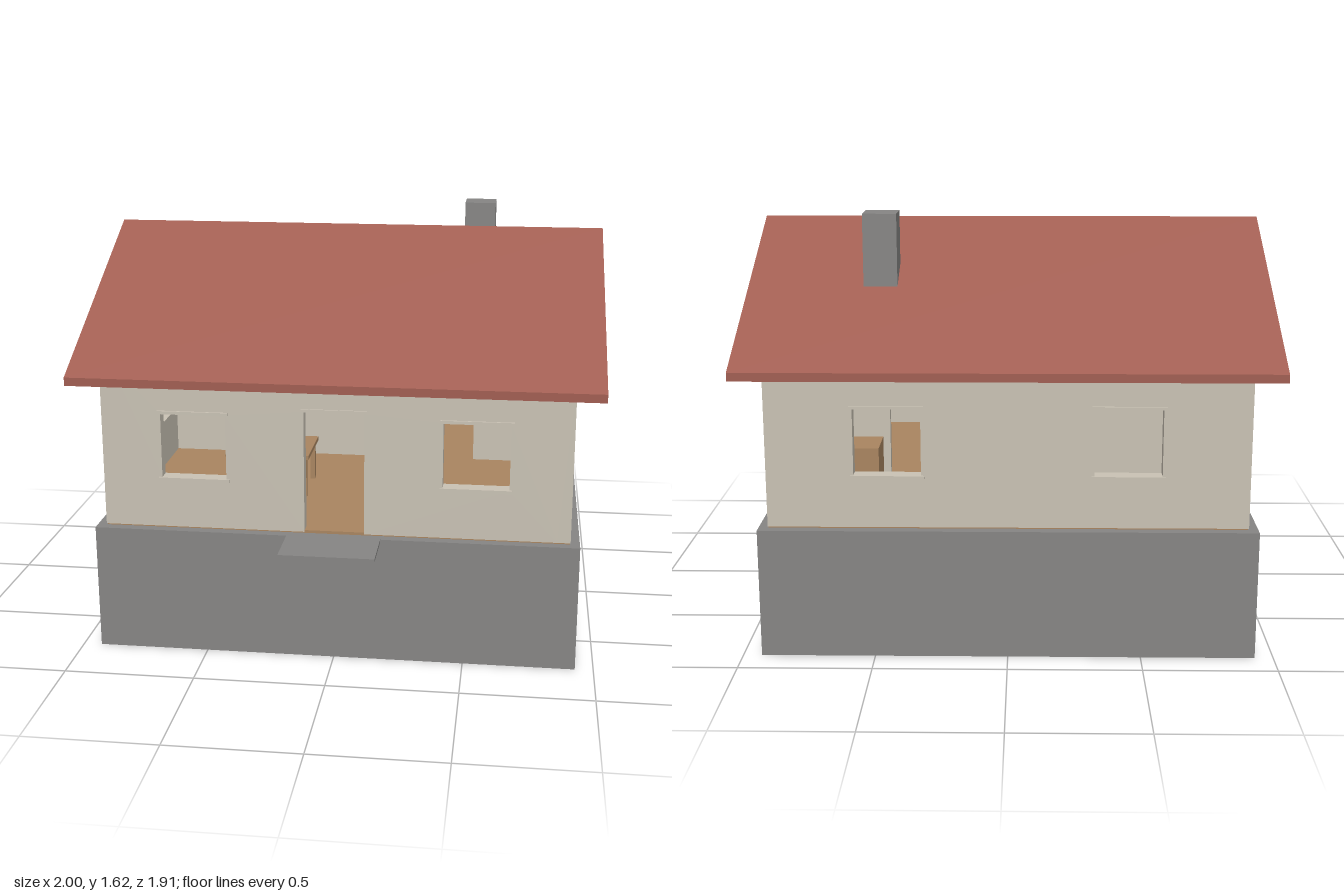
import * as THREE from 'three';

const wallMat = new THREE.MeshStandardMaterial({ name: 'beige plaster', color: 0xc9c2b4 });
const greyMat = new THREE.MeshStandardMaterial({ name: 'grey concrete', color: 0x868584 });
const roofMat = new THREE.MeshStandardMaterial({ name: 'red roof', color: 0xa15e52 });
const woodMat = new THREE.MeshStandardMaterial({ name: 'brown wood', color: 0xa98560 });

const T = 0.05;                       // wall thickness
const X = 0.895, ZF = 0.72, ZB = -0.85, ZM = -0.065;
const Y0 = 0.5, YE = 1.13, YP = 1.51; // floor, eaves, gable peak
const WIN = { w: 0.25, y0: 0.7, y1: 0.953 };

export function createModel() {
  const house = new THREE.Group();
  house.name = 'house';

  const add = (name, geo, mat, parent = house) => {
    const m = new THREE.Mesh(geo, mat);
    m.name = name;
    parent.add(m);
    return m;
  };
  // box from its lowest to its highest corner
  const box = (name, mat, [x0, y0, z0], [x1, y1, z1], parent = house) => {
    const m = add(name, new THREE.BoxGeometry(x1 - x0, y1 - y0, z1 - z0), mat, parent);
    m.position.set((x0 + x1) / 2, (y0 + y1) / 2, (z0 + z1) / 2);
    return m;
  };
  // wall in its own plane, outside towards +z at z = 0, with window holes, sills and lintels
  const wall = (name, outline, windows, door) => {
    const g = new THREE.Group();
    g.name = name;
    const s = new THREE.Shape(outline.map(([x, y]) => new THREE.Vector2(x, y)));
    for (const c of windows) {
      const a = c - WIN.w / 2, b = c + WIN.w / 2;
      s.holes.push(new THREE.Path([[a, WIN.y0], [a, WIN.y1], [b, WIN.y1], [b, WIN.y0]]
        .map(([x, y]) => new THREE.Vector2(x, y))));
      box('windowSill', wallMat, [a - 0.012, WIN.y0 - 0.012, -0.01], [b + 0.012, WIN.y0, 0.008], g);
      box('windowLintel', wallMat, [a - 0.012, WIN.y1, -0.01], [b + 0.012, WIN.y1 + 0.012, 0.008], g);
    }
    if (door) box('doorLintel', wallMat, [-0.125, 0.978, -0.01], [0.125, 0.99, 0.006], g);
    const geo = new THREE.ExtrudeGeometry(s, { depth: T, bevelEnabled: false });
    geo.translate(0, 0, -T);
    add('wallPanel', geo, wallMat, g);
    house.add(g);
    return g;
  };

  // foundation, step and floor
  box('foundation', greyMat, [-0.93, 0, -0.885], [0.93, 0.495, 0.755]);
  box('doorStep', greyMat, [-0.18, 0.484, 0.75], [0.18, 0.496, 0.955]);
  box('floor', woodMat, [-0.892, 0.495, -0.847], [0.892, 0.506, 0.717]);

  // long walls
  const xi = X - T;
  wall('frontWall', [[-xi, Y0], [-0.115, Y0], [-0.115, 0.978], [0.115, 0.978], [0.115, Y0],
    [xi, Y0], [xi, YE], [-xi, YE]], [-0.54, 0.536], true).position.z = ZF;
  const back = wall('backWall', [[-xi, Y0], [xi, Y0], [xi, YE], [-xi, YE]], [-0.445, 0.445]);
  back.rotation.y = Math.PI;
  back.position.z = ZB;

  // gable walls, drawn about the ridge line
  const h = (ZF - ZB) / 2, k = h - 0.04;
  const gable = [[-h, Y0], [h, Y0], [h, YE], [k, YE], [0, YP], [-k, YE], [-h, YE]];
  const left = wall('leftGable', gable, [-0.37, 0.37]);
  left.rotation.y = Math.PI / 2;
  left.position.set(X, 0, ZM);
  const right = wall('rightGable', gable, [0]);
  right.rotation.y = -Math.PI / 2;
  right.position.set(-X, 0, ZM);

  // ceiling and partition with a doorway
  box('ceiling', wallMat, [-xi, 1.1, ZB + T], [xi, 1.128, ZF - T]);
  box('partition', wallMat, [-xi, 0.506, -0.27], [0.27, 1.1, -0.235]);
  box('partition', wallMat, [0.49, 0.506, -0.27], [xi, 1.1, -0.235]);
  box('partitionLintel', wallMat, [0.27, 0.98, -0.27], [0.49, 1.1, -0.235]);

  // roof, a bent slab along x
  const roofShape = new THREE.Shape([[-0.885, 1.078], [0, 1.535], [0.89, 1.078],
    [0.89, 1.11], [0, 1.57], [-0.885, 1.11]].map(([u, y]) => new THREE.Vector2(u, y)));
  const roofGeo = new THREE.ExtrudeGeometry(roofShape, { depth: 2, bevelEnabled: false });
  roofGeo.translate(0, 0, -1).rotateY(Math.PI / 2);
  add('roof', roofGeo, roofMat).position.z = ZM;

  // chimney
  box('chimney', greyMat, [0.428, 1.128, -0.495], [0.558, 1.625, -0.36]);

  // furniture
  const table = new THREE.Group();
  table.name = 'table';
  house.add(table);
  box('tableTop', woodMat, [-0.5, 0.668, 0.08], [-0.155, 0.685, 0.35], table);
  for (const x of [-0.49, -0.185])
    for (const z of [0.09, 0.32])
      box('tableLeg', woodMat, [x, 0.506, z], [x + 0.02, 0.668, z + 0.02], table);
  box('stool', woodMat, [-0.27, 0.506, 0.41], [-0.17, 0.6, 0.5]);
  box('cabinet', woodMat, [0.52, 0.506, -0.45], [xi, 0.69, -0.27]);

  return house;
}
